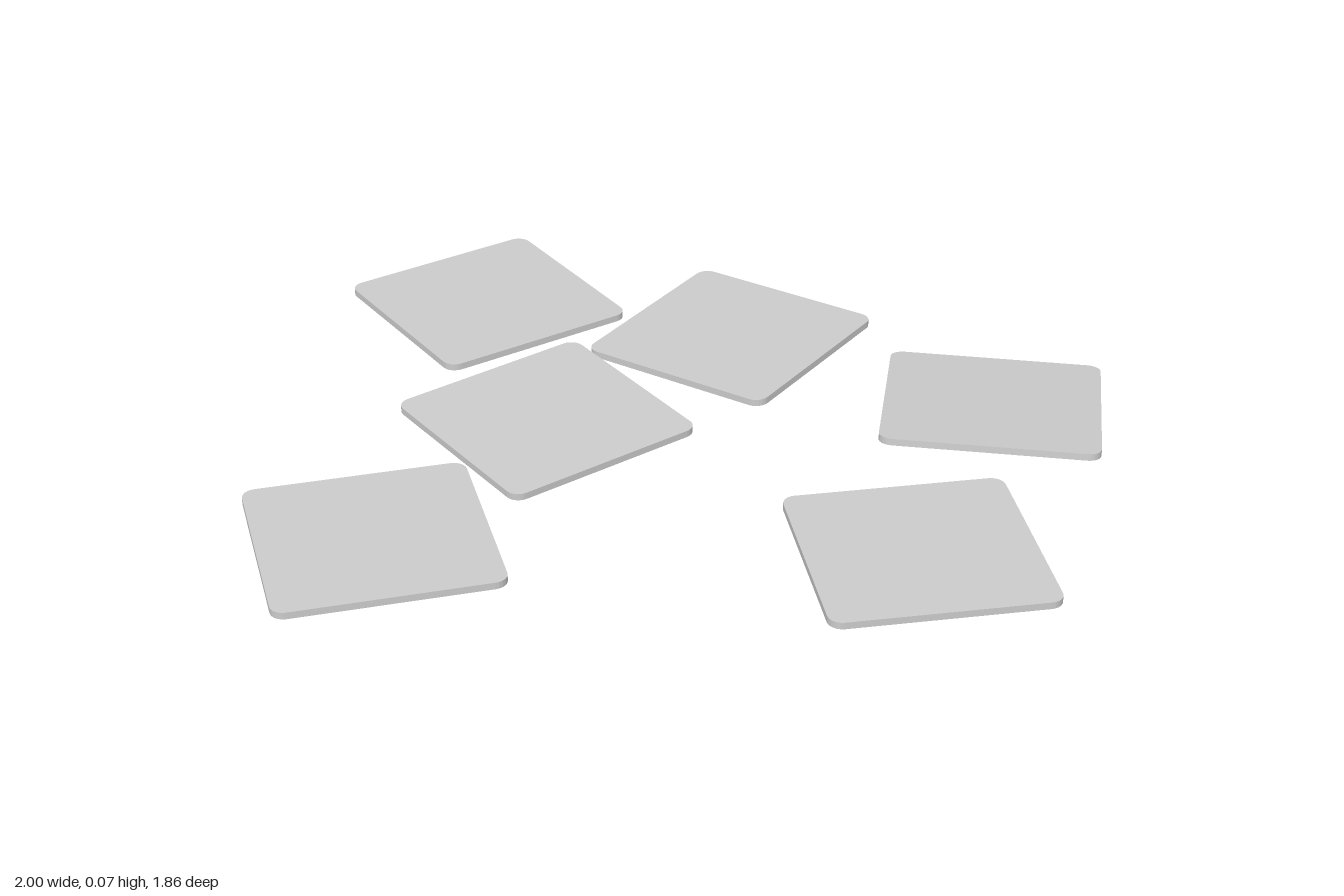
import * as THREE from 'three';

const SIDE = 0.525, THICK = 0.017, RADIUS = 0.033;

// Thin square plate with rounded corners, centred on its origin and lying flat
function tileGeometry() {
  const h = SIDE / 2, c = h - RADIUS;
  const shape = new THREE.Shape();
  [[c, c], [-c, c], [-c, -c], [c, -c]].forEach(([x, y], i) =>
    shape.absarc(x, y, RADIUS, i * Math.PI / 2, (i + 1) * Math.PI / 2, false));
  shape.closePath();
  const geo = new THREE.ExtrudeGeometry(shape, { depth: THICK, bevelEnabled: false, curveSegments: 3 });
  geo.translate(0, 0, -THICK / 2);
  geo.rotateX(-Math.PI / 2);
  return geo;
}

export function createModel() {
  const group = new THREE.Group();
  group.name = 'scatteredTiles';
  const geo = tileGeometry();
  const mat = new THREE.MeshStandardMaterial({ color: 0xcccccc, flatShading: true });
  const up = new THREE.Vector3(0, 1, 0);

  // x, y, z, turn in degrees, rise along x, rise along z
  const tiles = [
    [-0.647, 0.038, -0.577, -41.3, 0, 0],
    [0.007, 0.038, -0.562, -19.9, 0.03, 0],
    [0.706, 0.035, -0.393, 7.5, 0, 0.095],
    [-0.323, 0.037, -0.043, -38.9, 0, -0.02],
    [0.658, 0.038, 0.307, 24.8, 0, 0],
    [-0.54, 0.038, 0.575, 29.8, 0, 0],
  ];
  tiles.forEach(([x, y, z, turn, riseX, riseZ], i) => {
    const tile = new THREE.Mesh(geo, mat);
    tile.name = `tile${i + 1}`;
    tile.position.set(x, y, z);
    // Turn about the vertical, then lean the plate to its slope
    const normal = new THREE.Vector3(-riseX, 1, -riseZ).normalize();
    const yaw = new THREE.Quaternion().setFromAxisAngle(up, THREE.MathUtils.degToRad(turn));
    tile.quaternion.setFromUnitVectors(up, normal).multiply(yaw);
    group.add(tile);
  });
  return group;
}
